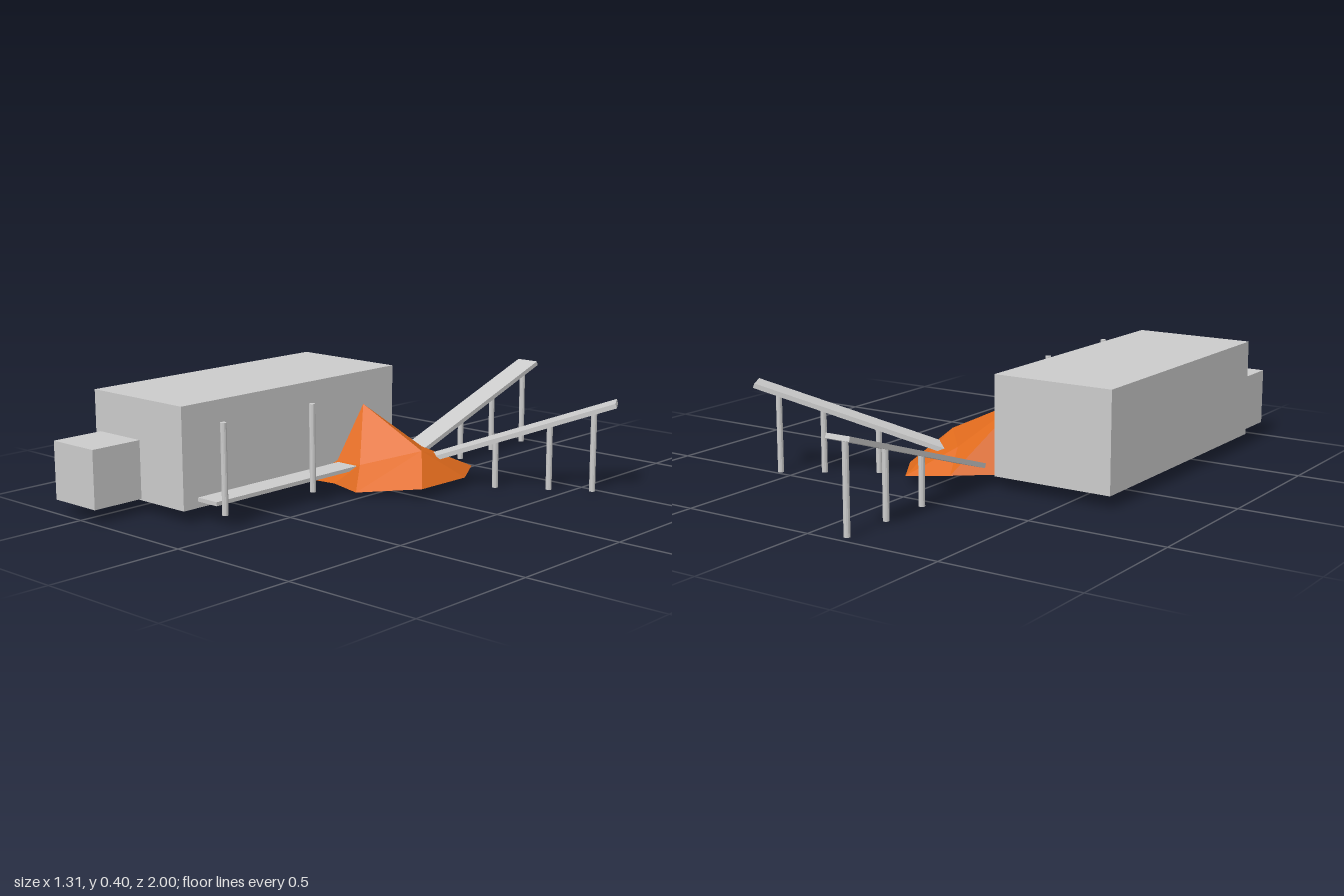
import * as THREE from 'three';

const grey = new THREE.MeshStandardMaterial({ color: 0xcccccc, side: THREE.DoubleSide, flatShading: true });
const orange = new THREE.MeshStandardMaterial({ color: 0xdf6a1c, side: THREE.DoubleSide, flatShading: true });

// Box given by its limits, open underneath
function openBox(name, [x0, x1], [y0, y1], [z0, z1]) {
  const geo = new THREE.BoxGeometry(x1 - x0, y1 - y0, z1 - z0);
  const index = Array.from(geo.index.array);
  index.splice(18, 6); // drop the bottom face
  geo.setIndex(index);
  geo.clearGroups();
  const mesh = new THREE.Mesh(geo, grey);
  mesh.name = name;
  mesh.position.set((x0 + x1) / 2, (y0 + y1) / 2, (z0 + z1) / 2);
  return mesh;
}

// Thin slab running between two points
function belt(name, from, to, width = 0.093, thickness = 0.017) {
  const a = new THREE.Vector3(...from), b = new THREE.Vector3(...to);
  const mesh = new THREE.Mesh(new THREE.BoxGeometry(width, thickness, a.distanceTo(b)), grey);
  mesh.name = name;
  mesh.position.copy(a).lerp(b, 0.5);
  mesh.lookAt(b);
  return mesh;
}

// Round upright post
function post(name, x, z, y0, y1) {
  const mesh = new THREE.Mesh(new THREE.CylinderGeometry(0.011, 0.011, y1 - y0, 12), grey);
  mesh.name = name;
  mesh.position.set(x, (y0 + y1) / 2, z);
  return mesh;
}

// Faceted hollow heap: peak and shoulder joined to a rim
function heap() {
  const p = {
    peak: [-0.197, 0.28, -0.08], shoulder: [0.09, 0.145, -0.08],
    frontLeft: [-0.197, 0.09, 0.06], frontMid: [-0.085, 0.09, 0.06], backMid: [-0.03, 0.12, -0.22],
    a: [-0.2, 0.045, 0.205], b: [-0.09, 0.045, 0.19], c: [-0.03, 0.012, 0.14],
    d: [0.178, 0.037, 0.02], e: [0.178, 0.035, -0.22], f: [0.08, 0.035, -0.38],
    g: [-0.07, 0.045, -0.325], h: [-0.2, 0.045, -0.22],
  };
  const faces = [
    'peak frontLeft frontMid', 'frontLeft a b', 'frontLeft b frontMid', 'frontMid b c',
    'peak frontMid shoulder', 'frontMid c shoulder', 'shoulder c d', 'shoulder d e',
    'shoulder e f', 'shoulder f backMid', 'peak shoulder backMid', 'backMid f g',
    'peak backMid g', 'peak g h',
  ];
  const pos = faces.flatMap((f) => f.split(' ').flatMap((k) => p[k]));
  const geo = new THREE.BufferGeometry();
  geo.setAttribute('position', new THREE.Float32BufferAttribute(pos, 3));
  geo.computeVertexNormals();
  const mesh = new THREE.Mesh(geo, orange);
  mesh.name = 'orangeHeap';
  return mesh;
}

export function createModel() {
  const model = new THREE.Group();
  model.name = 'conveyorPlant';

  // Buildings
  model.add(openBox('mainBuilding', [-0.655, -0.2], [0.045, 0.403], [-0.245, 0.8]));
  model.add(openBox('annex', [-0.63, -0.42], [0.05, 0.257], [0.8, 1]));

  model.add(heap());

  // Conveyors: one level at the front, two rising
  model.add(belt('frontConveyor', [-0.138, 0.08, 0.04], [-0.138, 0.08, 0.75], 0.093, 0.014));
  model.add(belt('backConveyor', [-0.113, 0.075, -0.24], [-0.126, 0.326, -0.997]));
  model.add(belt('sideConveyor', [0.03, 0.09, -0.17], [0.625, 0.325, -0.525]));

  // Legs under the rising conveyors
  for (const [x, z, h] of [[-0.118, -0.555, 0.175], [-0.122, -0.755, 0.24], [-0.126, -0.96, 0.31],
    [0.263, -0.29, 0.175], [0.428, -0.395, 0.24], [0.56, -0.48, 0.295]]) {
    model.add(post('conveyorLeg', x, z, 0, h));
  }

  // Free-standing posts beside the front conveyor
  for (const z of [0.325, 0.738]) model.add(post('frontPost', -0.063, z, 0.045, 0.36));

  return model;
}
